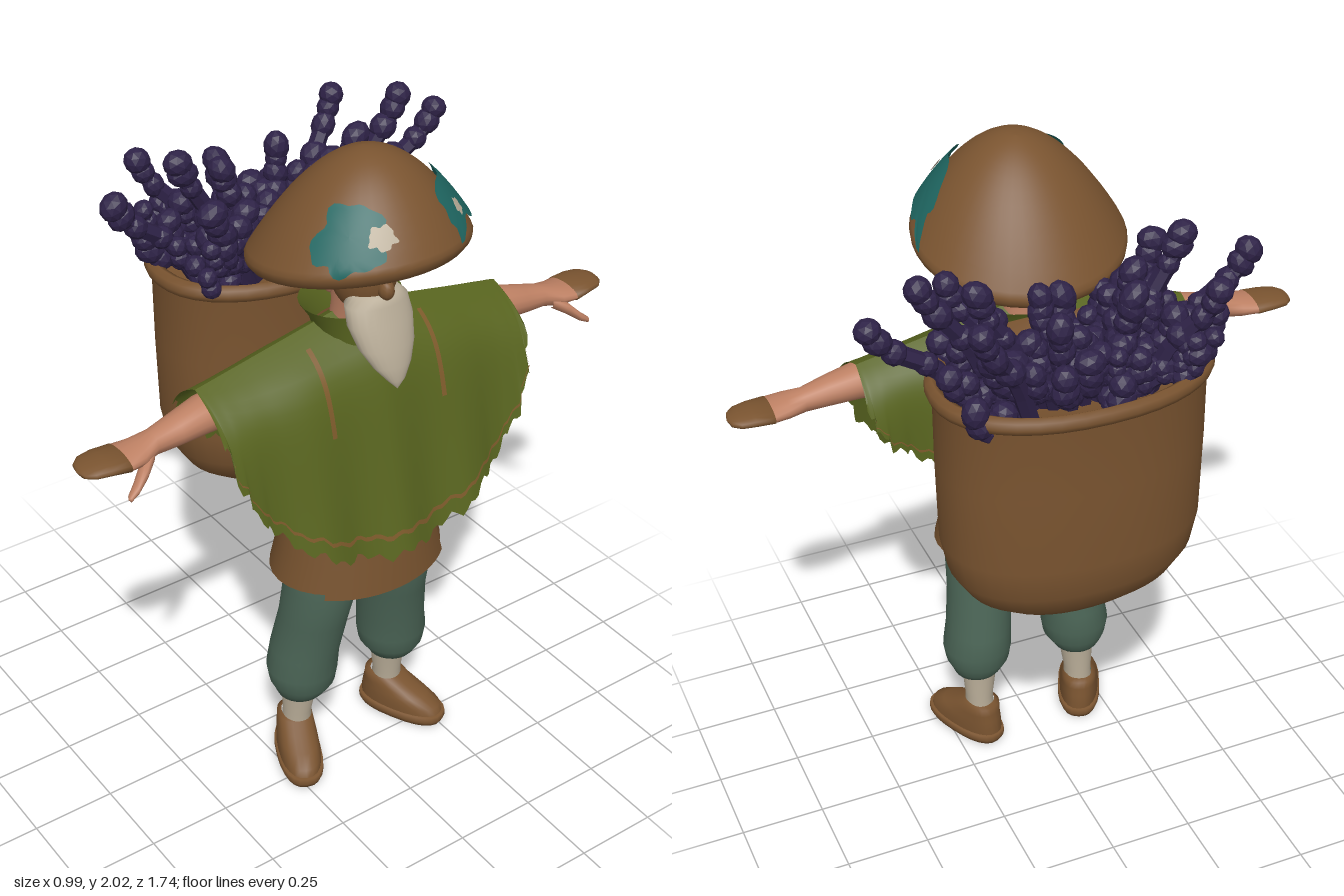
import * as THREE from 'three';
import { mergeGeometries } from 'three/addons/utils/BufferGeometryUtils.js';

const mat = (name, color, open) => {
  const m = new THREE.MeshStandardMaterial({ color });
  m.name = name;
  if (open) m.side = THREE.DoubleSide;
  return m;
};

// Grid surface from f(u, v) -> [x, y, z]; wrap joins u = 1 to u = 0
function sheet(f, nu, nv, wrap = false, flip = false) {
  const pos = [], idx = [], cols = wrap ? nu : nu + 1;
  for (let j = 0; j <= nv; j++)
    for (let i = 0; i < cols; i++) pos.push(...f(i / nu, j / nv, j));
  for (let j = 0; j < nv; j++)
    for (let i = 0; i < nu; i++) {
      const a = j * cols + i, b = j * cols + (i + 1) % cols, c = a + cols, d = b + cols;
      if (flip) idx.push(a, b, c, b, d, c);
      else idx.push(a, c, b, b, c, d);
    }
  const g = new THREE.BufferGeometry();
  g.setAttribute('position', new THREE.Float32BufferAttribute(pos, 3));
  g.setIndex(idx);
  g.computeVertexNormals();
  return g;
}

// Elliptical rings [t, cx, c2, rx, r2] stacked along y (or z); power squares them off
function loft(rings, { seg = 24, alongZ = false, power = 2 } = {}) {
  const bend = (v) => Math.sign(v) * Math.abs(v) ** (2 / power);
  return sheet((u, v, j) => {
    const [t, cx, c2, rx, r2] = rings[j], a = u * Math.PI * 2;
    const p = cx + rx * bend(Math.cos(a)), q = c2 + r2 * bend(Math.sin(a));
    return alongZ ? [p, q, t] : [p, t, q];
  }, seg, rings.length - 1, true, alongZ);
}

// Copy of an indexed geometry reflected in z
function mirrored(geo) {
  const g = geo.clone().scale(1, 1, -1), ix = g.index.array;
  for (let i = 0; i < ix.length; i += 3) [ix[i], ix[i + 1]] = [ix[i + 1], ix[i]];
  g.computeVertexNormals();
  return g;
}

export function createModel() {
  const root = new THREE.Group();
  const brown = mat('brown', 0x7a5430), coatBrown = mat('coat brown', 0x74502d, true);
  const olive = mat('olive', 0x58641f, true), stripe = mat('stripe brown', 0x7d5a2b, true);
  const teal = mat('teal', 0x1f6762, true), trouser = mat('grey green', 0x4b6556);
  const cream = mat('cream', 0xb9ad98, true), skin = mat('skin', 0xbd8063);
  const purple = mat('purple', 0x2e2247);
  purple.flatShading = true;
  const add = (name, geo, m, parent = root) => {
    const mesh = new THREE.Mesh(geo, m);
    mesh.name = name;
    parent.add(mesh);
    return mesh;
  };
  const pair = (name, geo, m) => {
    add(name + 'Left', geo, m);
    add(name + 'Right', mirrored(geo), m);
  };
  let seed = 7;
  const rnd = (a, b) => {
    seed = (seed * 16807) % 2147483647;
    return a + (b - a) * seed / 2147483647;
  };

  // Basket with rolled rim
  const bx = -0.228, bz = -0.03;
  add('basket', loft([[0.81, 0, 0], [0.815, 0.09, 0.16], [0.84, 0.15, 0.24], [0.89, 0.2, 0.31], [0.96, 0.235, 0.355],
    [1.06, 0.248, 0.375], [1.3, 0.25, 0.38], [1.515, 0.25, 0.38], [1.52, 0.262, 0.395], [1.535, 0.268, 0.4],
    [1.555, 0.265, 0.397], [1.565, 0.25, 0.38], [1.555, 0.235, 0.36], [1.5, 0.225, 0.35], [1.49, 0, 0]]
    .map(([y, rx, rz]) => [y, bx, bz, rx, rz]), { seg: 40, power: 2.2 }), brown);

  // Flower stalks, each a bent stem with knobbly buds
  const bits = [];
  const bud = (p, r) => {
    const g = new THREE.IcosahedronGeometry(r, 1);
    g.scale(1, rnd(0.9, 1.3), 1).rotateX(rnd(0, 3)).translate(p.x, p.y, p.z);
    bits.push(g);
  };
  const stalk = (x, y, z, r) => {
    const tip = new THREE.Vector3(x, y, z);
    const curve = new THREE.CatmullRomCurve3([
      new THREE.Vector3(bx + (x - bx) * 0.6, 1.48, bz + (z - bz) * 0.5),
      new THREE.Vector3(bx + (x - bx) * 0.75, 1.48 + (y - 1.48) * 0.5, bz + (z - bz) * 0.68),
      new THREE.Vector3(bx + (x - bx) * 0.95, y - 0.06, bz + (z - bz) * 0.92), tip]);
    bits.push(new THREE.TubeGeometry(curve, 7, r * 0.75, 6).toNonIndexed());
    bud(tip, r * 1.1);
    for (const t of [0.4, 0.6, 0.8]) bud(curve.getPoint(t), r * rnd(0.9, 1.15));
  };
  [[-0.24, 1.79, -0.59], [-0.24, 1.79, 0.48], [-0.43, 1.82, -0.36], [-0.23, 1.87, -0.45], [-0.22, 1.87, 0.29],
    [-0.08, 1.78, -0.32], [-0.07, 1.78, 0.28], [-0.42, 1.8, 0.3], [-0.33, 1.78, 0.1], [-0.2, 1.8, -0.28],
    [-0.24, 1.8, 0.14], [-0.36, 1.75, -0.12], [-0.3, 1.64, -0.4], [-0.28, 1.64, 0.37]]
    .forEach(([x, y, z]) => stalk(x, y, z, 0.034));
  for (let i = 0; i < 75; i++) stalk(rnd(-0.42, -0.05), rnd(1.56, 1.7), rnd(-0.36, 0.31), rnd(0.026, 0.036));
  add('flowers', mergeGeometries(bits), purple);

  // Torso and flared coat with a front panel
  add('torso', loft([[1.1, 0.2, 0, 0.107, 0.195], [1.35, 0.19, 0, 0.1, 0.19], [1.45, 0.18, 0, 0.08, 0.14],
    [1.5, 0.17, 0, 0.05, 0.07]]), olive);
  const coat = [[0.73, 0.205, 0, 0.2, 0.27], [0.82, 0.203, 0, 0.18, 0.25], [1, 0.2, 0, 0.135, 0.22],
    [1.15, 0.2, 0, 0.113, 0.205], [1.18, 0.2, 0, 0.106, 0.19]];
  add('coat', loft(coat, { seg: 32 }), coatBrown);
  add('coatFrontPanel', sheet((u, v, j) => {
    const [y, cx, , rx, rz] = coat[j], a = (u - 0.5) * 1.7;
    return [cx + (rx + 0.012) * Math.cos(a), y - 0.012, (rz + 0.008) * Math.sin(a)];
  }, 14, 4), coatBrown);

  // Poncho: front and back drapes meeting along the shoulders, with ragged hems
  const drape = (dir, v0 = 0, v1 = 1, out = 0, u0 = 0, u1 = 1) => (uu, vv) => {
    const u = u0 + (u1 - u0) * uu, v = v0 + (v1 - v0) * vv;
    const phi = (u - 0.5) * Math.PI, z = 0.5 * Math.sin(phi);
    const top = 1.54 - 0.2 * Math.abs(z);
    const rag = 0.012 * Math.sin(u * 150) + 0.008 * Math.sin(u * 67);
    const hem = 1.36 - (dir > 0 ? 0.49 : 0.28) * Math.cos(phi) + rag * v ** 6;
    const d = (top - hem) * v, fold = 0.012 * Math.sin(z * 26 + 1.5) * v;
    const [near, slope] = dir > 0 ? [0.13, 0.22] : [0.1, 0.09];
    const x = 0.17 + dir * (near * (1 - Math.exp(-d / 0.05)) + slope * d + fold + out);
    return [x, top - d + out * 0.5 * (1 - v), z * (1 + 0.03 * v * Math.sin(u * 90) * Math.abs(z))];
  };
  add('ponchoFront', sheet(drape(1), 90, 18), olive);
  add('ponchoBack', sheet(drape(-1), 90, 18, false, true), olive);
  for (const [name, d] of [['Front', 1], ['Back', -1]]) {
    add('hemStripe' + name, sheet(drape(d, 0.895, 0.915, 0.005, 0.05, 0.95), 90, 2), stripe);
  }
  for (const u of [0.375, 0.615]) add('chestStripe', sheet(drape(1, 0.04, 0.4, 0.005, u, u + 0.01), 2, 18), stripe);
  add('collar', loft([[1.47, 0.18, 0, 0.11, 0.11], [1.52, 0.175, 0, 0.115, 0.125], [1.56, 0.165, 0, 0.125, 0.15]]), olive);

  // Arms, hands with dark fingers, thumbs
  pair('arm', loft([[0.15, 0.18, 1.4, 0.06, 0.05], [0.4, 0.19, 1.38, 0.062, 0.055], [0.5, 0.192, 1.375, 0.058, 0.05],
    [0.58, 0.195, 1.362, 0.048, 0.042], [0.65, 0.195, 1.35, 0.038, 0.034], [0.7, 0.2, 1.342, 0.056, 0.03],
    [0.75, 0.197, 1.34, 0.064, 0.022]], { seg: 16, alongZ: true }), skin);
  pair('fingers', loft([[0.745, 0.197, 1.34, 0, 0], [0.746, 0.197, 1.34, 0.066, 0.024], [0.8, 0.192, 1.343, 0.063, 0.02],
    [0.84, 0.19, 1.342, 0.055, 0.017], [0.862, 0.19, 1.34, 0.035, 0.012], [0.87, 0.19, 1.34, 0, 0]],
  { seg: 16, alongZ: true }), brown);
  pair('thumb', loft([[0.67, 0.225, 1.335, 0.018, 0.018], [0.71, 0.252, 1.315, 0.024, 0.02], [0.745, 0.27, 1.285, 0.017, 0.015],
    [0.77, 0.28, 1.27, 0.01, 0.01], [0.775, 0.28, 1.268, 0, 0]], { seg: 10, alongZ: true }), skin);

  // Baggy trousers, ankles, turned-out shoes
  pair('trouserLeg', loft([[0.25, 0.165, 0.17, 0, 0], [0.25, 0.165, 0.17, 0.07, 0.07], [0.27, 0.165, 0.168, 0.085, 0.08],
    [0.3, 0.168, 0.165, 0.1, 0.098], [0.35, 0.168, 0.165, 0.108, 0.106], [0.42, 0.172, 0.158, 0.109, 0.1],
    [0.55, 0.195, 0.142, 0.107, 0.1], [0.68, 0.218, 0.132, 0.115, 0.105], [0.82, 0.21, 0.11, 0.11, 0.11],
    [0.95, 0.2, 0.08, 0.08, 0.08], [0.96, 0.2, 0.08, 0, 0]]), trouser);
  pair('ankle', loft([[0.08, 0.145, 0.17, 0.047, 0.045], [0.16, 0.148, 0.17, 0.045, 0.043], [0.27, 0.155, 0.165, 0.056, 0.055]]), cream);
  const foot = (g) => g.rotateY(-0.42).translate(0.145, 0, 0.175);
  pair('sole', foot(loft([[0, 0.055, 0, 0, 0], [0.005, 0.055, 0, 0.138, 0.062], [0.02, 0.055, 0, 0.145, 0.068],
    [0.038, 0.055, 0, 0.143, 0.067], [0.042, 0.055, 0, 0, 0]], { power: 2.5 })), brown);
  pair('shoe', foot(loft([[0.03, 0.055, 0, 0.138, 0.062], [0.06, 0.05, 0, 0.132, 0.063], [0.085, 0.03, 0, 0.108, 0.06],
    [0.11, 0.005, 0, 0.078, 0.056], [0.135, -0.012, 0, 0.058, 0.052], [0.14, -0.012, 0, 0.04, 0.04]], { power: 2.3 })), brown);
  const band = (x0, x1) => foot(sheet((u, v) => {
    const a = (u - 0.5) * 2.2;
    return [x0 + (x1 - x0) * v, 0.05 + 0.062 * Math.cos(a) - 0.32 * (x0 + (x1 - x0) * v - 0.05), 0.066 * Math.sin(a)];
  }, 12, 2));
  pair('shoeStrap', band(0.035, 0.06), teal);
  pair('shoeOpening', band(0.075, 0.09), cream);

  // Head: neck, face, nose, ears, headband, brows, beard
  add('neck', loft([[1.45, 0.165, 0, 0.06, 0.065], [1.55, 0.18, 0, 0.058, 0.062], [1.64, 0.2, 0, 0.075, 0.075]]), skin);
  add('head', new THREE.SphereGeometry(1, 24, 16).scale(0.1, 0.13, 0.09).translate(0.22, 1.67, 0), brown);
  add('nose', new THREE.SphereGeometry(1, 10, 8).scale(0.026, 0.03, 0.022).translate(0.322, 1.645, 0), brown);
  pair('ear', new THREE.SphereGeometry(1, 10, 8).scale(0.024, 0.038, 0.014).translate(0.19, 1.645, 0.09), skin);
  add('headband', loft([[1.695, 0.22, 0, 0.102, 0.093], [1.72, 0.22, 0, 0.106, 0.096], [1.78, 0.21, 0, 0.1, 0.094]]), teal);
  pair('brow', new THREE.BoxGeometry(0.009, 0.012, 0.04).rotateY(-0.45).translate(0.311, 1.684, 0.04), cream);
  add('beard', loft([[1.37, 0.382, 0, 0, 0], [1.4, 0.375, 0, 0.018, 0.028], [1.44, 0.355, 0, 0.034, 0.06],
    [1.49, 0.328, 0, 0.05, 0.086], [1.55, 0.298, 0, 0.06, 0.1], [1.6, 0.278, 0, 0.06, 0.095],
    [1.625, 0.275, 0, 0.055, 0.07], [1.632, 0.275, 0, 0, 0]]), cream);

  // Tilted dome hat with pale lining and ragged patches
  const hat = new THREE.Group();
  hat.name = 'hat';
  hat.position.set(0.197, 1.755, 0);
  hat.rotation.z = 0.2;
  root.add(hat);
  const R = 0.295, height = (r) => 0.255 * (1 - (r / R) ** 1.9);
  const lean = 0.25;
  const crown = [[1, 0.27, -0.05], [1, 0.288, -0.046], [1, 0.3, -0.03], [1, 0.302, -0.014]];
  for (let i = 12; i >= 0; i--) crown.push([1, R * i / 12, height(R * i / 12)]);
  add('hatCrown', loft(crown.map(([, r, y]) => [y, lean * y, 0, r, r]), { seg: 40 }), brown, hat);
  add('hatLining', loft([[0.06, 0, 0, 0, 0], [0.045, 0, 0, 0.1, 0.1], [-0.01, 0, 0, 0.21, 0.21],
    [-0.05, -0.0125, 0, 0.272, 0.272]], { seg: 40 }), cream, hat);
  const patch = (name, cx, cz, turn, len, wid, m, lift) => add(name, sheet((u, v) => {
    const a = u * Math.PI * 2;
    const k = v * (1 + 0.13 * Math.sin(a * 5 + cx * 30) + 0.09 * Math.sin(a * 8));
    const p = len * k * Math.cos(a), q = wid * k * Math.sin(a);
    const x = cx + p * Math.cos(turn) - q * Math.sin(turn), z = cz + p * Math.sin(turn) + q * Math.cos(turn);
    const r = Math.hypot(x, z), s = Math.min(1, 0.298 / r), y = height(r * s) + lift;
    return [x * s * 1.02 + lean * y, y - (1 - s) * 0.3, z * s * 1.02];
  }, 40, 6, true), m, hat);
  patch('hatPatchRight', 0.125, -0.195, 0.58, 0.16, 0.052, teal, 0.012);
  patch('hatPatchLeft', 0.185, 0.165, -0.8, 0.09, 0.06, teal, 0.012);
  patch('hatPatchScrapLeft', 0.235, 0.1, -1.1, 0.035, 0.02, cream, 0.014);
  patch('hatPatchScrapRight', 0.2, -0.16, 0.5, 0.018, 0.014, cream, 0.018);

  return root;
}
